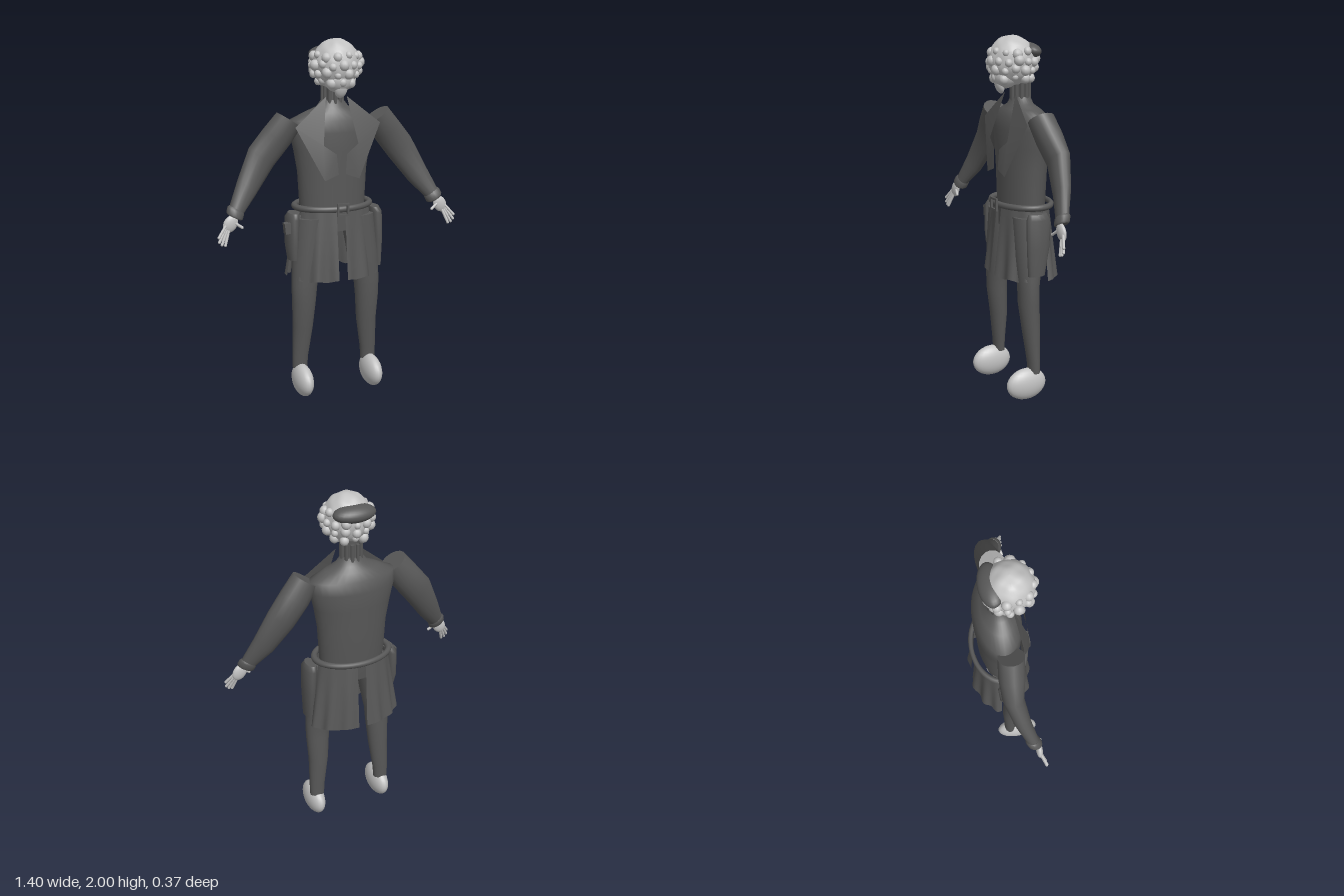
import * as THREE from 'three';

const cloth = new THREE.MeshStandardMaterial({ color: 0x585858, side: THREE.DoubleSide });
cloth.name = 'dark cloth';
const pale = new THREE.MeshStandardMaterial({ color: 0xc2c2c2 });
pale.name = 'pale skin and hair';

// Closed skin over elliptical rings [x, y, z, rx, rz, tilt], listed from top to bottom
function loft(rings, n = 20) {
  const pos = [], idx = [];
  const addRing = ([x, y, z, rx, rz, a = 0]) => {
    for (let i = 0; i < n; i++) {
      const t = (i / n) * Math.PI * 2, u = Math.cos(t) * rx;
      pos.push(x + u * Math.cos(a), y + u * Math.sin(a), z + Math.sin(t) * rz);
    }
  };
  rings.forEach(addRing);
  for (let r = 0; r < rings.length - 1; r++) for (let i = 0; i < n; i++) {
    const a = r * n + i, b = r * n + (i + 1) % n;
    idx.push(a, b, a + n, b, b + n, a + n);
  }
  // flat end caps
  [rings[0], rings[rings.length - 1]].forEach((ring, end) => {
    const s = pos.length / 3;
    addRing(ring);
    for (let i = 1; i < n - 1; i++) idx.push(s, ...(end ? [s + i, s + i + 1] : [s + i + 1, s + i]));
  });
  return build(pos, idx);
}

function build(pos, idx) {
  const g = new THREE.BufferGeometry();
  g.setAttribute('position', new THREE.Float32BufferAttribute(pos, 3));
  g.setIndex(idx);
  g.computeVertexNormals();
  return g;
}

// Hanging cloth panel round the hips between two angles measured from the front
function skirtPanel(side, a0, a1, bottom) {
  const pos = [], idx = [], nu = 20, nv = 5;
  for (let j = 0; j <= nv; j++) for (let i = 0; i <= nu; i++) {
    const v = j / nv, t = a0 + (a1 - a0) * i / nu;
    const fold = 0.01 * v * Math.sin(t * 14);
    const rx = 0.215 + 0.055 * v + fold, rz = 0.135 + 0.035 * v + fold;
    // edges beside the centre slit hang straight
    pos.push(side * Math.max(0.025, rx * Math.sin(t)), 1.065 + (bottom - 1.065) * v + fold * 0.6,
      -0.008 + rz * Math.cos(t));
    if (i < nu && j < nv) {
      const a = j * (nu + 1) + i, b = a + nu + 1;
      idx.push(...(side > 0 ? [a, b, a + 1, a + 1, b, b + 1] : [a, a + 1, b, a + 1, b + 1, b]));
    }
  }
  return build(pos, idx);
}

export function createModel() {
  const model = new THREE.Group();
  model.name = 'figure';
  const add = (name, geo, mat, p = [0, 0, 0], s = [1, 1, 1], parent = model) => {
    const m = new THREE.Mesh(geo, mat);
    m.name = name;
    m.position.set(...p);
    m.scale.set(...s);
    parent.add(m);
    return m;
  };
  const ball = new THREE.SphereGeometry(1, 24, 16);
  const smallBall = new THREE.SphereGeometry(1, 12, 8);

  // Head with curly hair, beard and a cap at the back
  const head = new THREE.Group();
  head.name = 'head';
  model.add(head);
  const skull = new THREE.SphereGeometry(1, 40, 28), sp = skull.attributes.position;
  for (let i = 0; i < sp.count; i++) {
    const v = new THREE.Vector3().fromBufferAttribute(sp, i);
    v.multiplyScalar(1 + 0.025 * Math.sin(9 * v.x) * Math.sin(8 * v.y + 1) * Math.cos(7 * v.z));
    sp.setXYZ(i, v.x, v.y, v.z);
  }
  skull.computeVertexNormals();
  add('skull', skull, pale, [0, 1.864, 0.045], [0.128, 0.135, 0.13], head);
  const rows = [[1.775, 0.092, 0.1, 10], [1.82, 0.122, 0.115, 13], [1.865, 0.13, 0.122, 14], [1.91, 0.117, 0.115, 12]];
  rows.forEach(([y, rx, rz, n], r) => {
    for (let i = 0; i < n; i++) {
      const t = ((i + r * 0.5) / n) * Math.PI * 2;
      const size = 0.024 + 0.005 * Math.sin(i * 2.3 + r * 1.7);
      add('curl', smallBall, pale, [rx * Math.sin(t), y + 0.008 * Math.sin(i * 4.1), 0.042 + rz * Math.cos(t)],
        [size, size * 1.05, size], head);
    }
  });
  add('jaw', ball, pale, [0, 1.785, 0.09], [0.082, 0.07, 0.07], head);
  const tip = add('beardTip', ball, pale, [0, 1.735, 0.122], [0.035, 0.048, 0.022], head);
  tip.rotation.x = 0.3;
  add('cap', ball, cloth, [0, 1.915, -0.046], [0.12, 0.045, 0.064], head).rotation.x = -0.15;

  // Neck with upright cords
  add('neck', new THREE.CylinderGeometry(0.038, 0.045, 0.17, 16), cloth, [0, 1.675, -0.008]);
  const cord = new THREE.CylinderGeometry(0.011, 0.011, 0.15, 8);
  for (let i = 0; i < 11; i++) {
    const t = (i / 11) * Math.PI * 2;
    add('neckCord', cord, cloth, [0.055 * Math.sin(t), 1.67, -0.008 + 0.048 * Math.cos(t)]);
  }

  // Coat body
  add('coatBody', loft([
    [0, 1.67, -0.008, 0.06, 0.05], [0, 1.63, -0.008, 0.09, 0.065], [0, 1.605, -0.012, 0.15, 0.09],
    [0, 1.565, -0.016, 0.24, 0.115], [0, 1.5, -0.018, 0.243, 0.126], [0, 1.4, -0.016, 0.22, 0.124],
    [0, 1.28, -0.012, 0.2, 0.118], [0, 1.1, -0.01, 0.19, 0.112], [0, 0.95, 0, 0.175, 0.1],
  ], 32), cloth);

  // Belt and buckle frame
  const belt = add('belt', new THREE.TorusGeometry(1, 0.085, 10, 48), cloth, [0, 1.085, -0.01], [0.216, 0.15, 0.2]);
  belt.rotation.x = Math.PI / 2;
  const buckle = new THREE.Group();
  buckle.name = 'buckle';
  model.add(buckle);
  for (const s of [-1, 1]) {
    add('buckleBar', new THREE.BoxGeometry(0.07, 0.012, 0.012), cloth, [0, 1.085 + s * 0.03, 0.158], undefined, buckle);
    add('bucklePost', new THREE.BoxGeometry(0.012, 0.06, 0.012), cloth, [s * 0.029, 1.085, 0.158], undefined, buckle);
  }

  for (const s of [-1, 1]) {
    const side = s > 0 ? 'left' : 'right';

    // Wide standing lapel
    add(side + 'Lapel', build([
      s * 0.06, 1.69, 0.055, s * 0.245, 1.54, 0.085, s * 0.1, 1.25, 0.145,
      s * 0.02, 1.28, 0.145, s * 0.03, 1.39, 0.14, s * 0.1, 1.44, 0.128,
    ], s > 0 ? [0, 5, 1, 1, 5, 2, 2, 4, 3, 2, 5, 4] : [0, 1, 5, 1, 2, 5, 2, 3, 4, 2, 4, 5]), cloth);

    // Skirt panels, split at centre front, side and centre back
    add(side + 'FrontSkirt', skirtPanel(s, 0.09, 1.2, 0.68), cloth);
    add(side + 'BackSkirt', skirtPanel(s, 1.75, 3.05, 0.685), cloth);

    // Hip pouch, shorter on the right
    const low = s > 0 ? 0.72 : 0.8;
    add(side + 'Pouch', loft([
      [s * 0.235, 1.06, 0.015, 0.03, 0.055], [s * 0.245, 1.03, 0.015, 0.037, 0.072],
      [s * 0.25, 0.88, 0.02, 0.034, 0.068], [s * 0.25, low, 0.03, 0.026, 0.05],
    ], 14), cloth);

    // Sleeve, open-shouldered and tapering to the wrist
    add(side + 'Sleeve', loft([
      [0.255, 1.572, 0.01, 0.078, 0.07, 0.58], [0.325, 1.48, 0, 0.086, 0.07, 0.55],
      [0.408, 1.378, -0.008, 0.086, 0.056, 0.68], [0.5, 1.23, 0.025, 0.067, 0.046, 0.75],
      [0.578, 1.11, 0.07, 0.043, 0.033, 0.5],
    ].map(([x, y, z, rx, rz, a]) => [s * x, y, z, rx, rz, s * a]), 16), cloth);
    add(side + 'Cuff', loft([
      [0.573, 1.125, 0.066, 0.043, 0.033, 0.5], [0.578, 1.115, 0.069, 0.05, 0.04, 0.5],
      [0.588, 1.09, 0.078, 0.05, 0.04, 0.5], [0.592, 1.082, 0.08, 0.042, 0.033, 0.5],
    ].map(([x, y, z, rx, rz, a]) => [s * x, y, z, rx, rz, s * a]), 16), cloth);

    // Hand with thumb and four fingers
    const hand = new THREE.Group();
    hand.name = side + 'Hand';
    model.add(hand);
    add('palm', ball, pale, [s * 0.617, 1.052, 0.098], [0.038, 0.05, 0.018], hand).rotation.z = s * 0.55;
    const fingers = [[0.645, 1.045, 0.69, 0.99], [0.645, 1.03, 0.688, 0.965], [0.638, 1.022, 0.674, 0.95],
      [0.628, 1.02, 0.656, 0.945], [0.6, 1.06, 0.558, 1.03]];
    fingers.forEach(([x0, y0, x1, y1], i) => {
      const a = new THREE.Vector3(s * x0, y0, 0.104), b = new THREE.Vector3(s * x1, y1, i < 4 ? 0.128 : 0.115);
      add(i < 4 ? 'finger' : 'thumb', new THREE.TubeGeometry(new THREE.LineCurve3(a, b), 1, 0.008, 8), pale, undefined, undefined, hand);
      add('fingerTip', smallBall, pale, b.toArray(), [0.008, 0.008, 0.008], hand);
    });

    // Trouser leg and rounded shoe
    add(side + 'Leg', loft([
      [s * 0.135, 1.03, 0.02, 0.095, 0.09], [s * 0.165, 0.8, 0.035, 0.088, 0.075],
      [s * 0.186, 0.65, 0.045, 0.074, 0.058], [s * 0.19, 0.55, 0.045, 0.068, 0.057],
      [s * 0.193, 0.4, 0.032, 0.058, 0.05], [s * 0.207, 0.22, 0.024, 0.046, 0.034],
      [s * 0.209, 0.15, 0.022, 0.043, 0.031],
    ]), cloth);
    add(side + 'Shoe', ball, pale, [s * 0.21, 0.09, 0.07], [0.053, 0.09, 0.12]);
  }

  // Short tool handle sticking out of the right pouch
  add('toolHandle', new THREE.BoxGeometry(0.055, 0.06, 0.04), cloth, [-0.275, 0.985, 0.05]).rotation.z = 0.1;
  return model;
}
